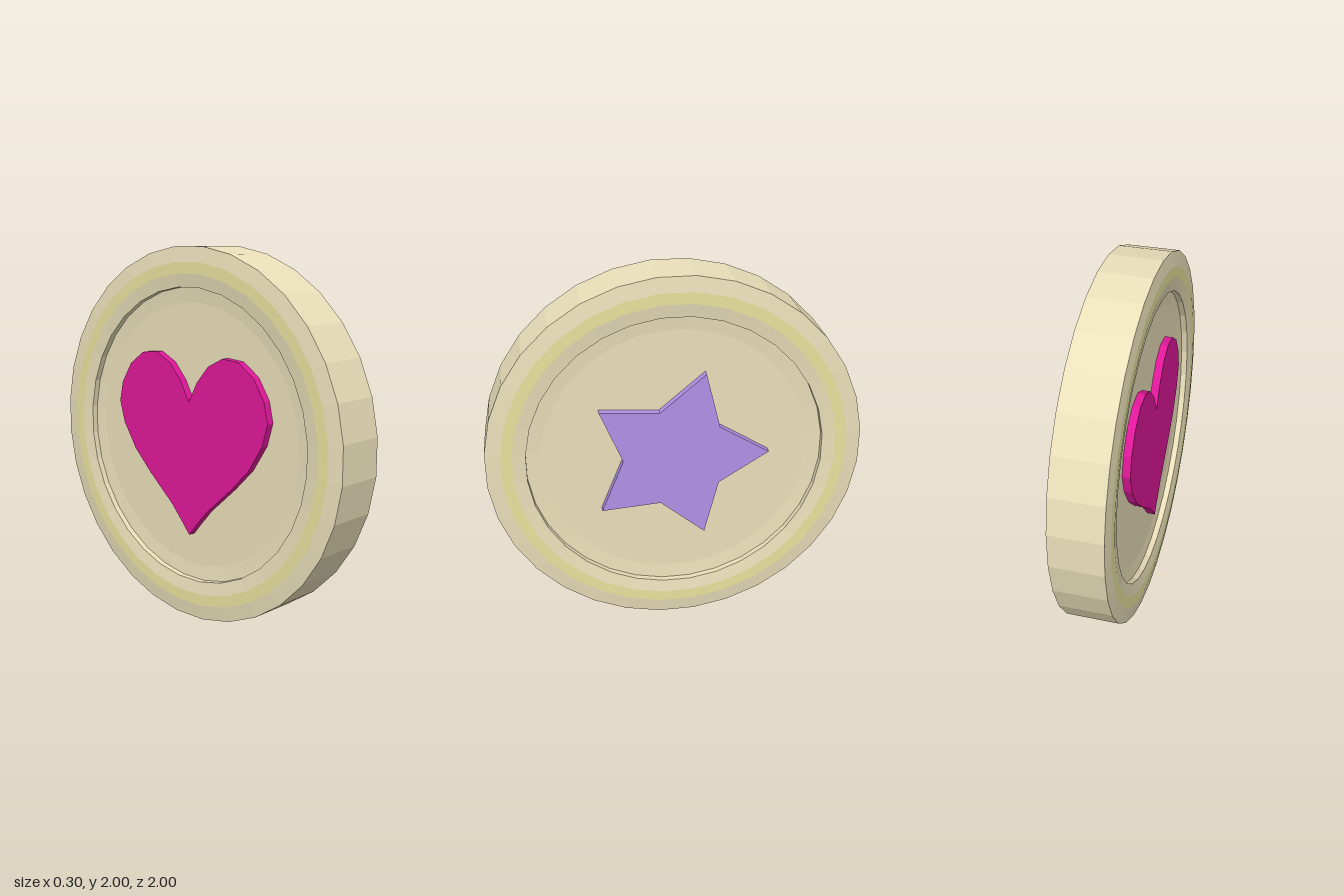
import * as THREE from 'three';

const SIDES = 32;
const FLAT = 1 / Math.cos(Math.PI / SIDES); // radii are measured across the flats

function makeMesh(name, geometry, color) {
  const material = new THREE.MeshStandardMaterial({ color, flatShading: true });
  const mesh = new THREE.Mesh(geometry, material);
  mesh.name = name;
  return mesh;
}

// Faceted ring or disc turned about the x axis; profile is [radius, x]
function turned(name, profile, color) {
  const points = profile.map(([r, x]) => new THREE.Vector2(r * FLAT, x));
  const geometry = new THREE.LatheGeometry(points, SIDES, Math.PI / SIDES);
  geometry.rotateZ(-Math.PI / 2);
  return makeMesh(name, geometry, color);
}

// Raised emblem on one face of the coin (side = 1 or -1)
function emblem(name, points, side, color) {
  const shape = new THREE.Shape(points.map(([u, v]) => new THREE.Vector2(u, v)));
  const geometry = new THREE.ExtrudeGeometry(shape, { depth: 0.045, bevelEnabled: false });
  geometry.translate(0, 0, 0.097);
  geometry.rotateY(side * Math.PI / 2);
  return makeMesh(name, geometry, color);
}

export function createModel() {
  const coin = new THREE.Group();
  coin.name = 'coin';
  coin.position.y = 1;

  // Half profiles, from the middle of a face outwards
  const dish = [[0, 0.1], [0.71, 0.1], [0.79, 0.107], [0.79, 0.14], [0.86, 0.15]];
  const band = [[0.86, 0.15], [0.92, 0.15]];
  const mirror = (profile) => profile.map(([r, x]) => [r, -x]);
  const cream = 0xeae0ba, yellow = 0xe8e39e;

  // Coin body: outer edge and the two recessed faces
  coin.add(turned('outerEdge', [[0.92, -0.15], [1, -0.14], [1, 0.14], [0.92, 0.15]], cream));
  coin.add(turned('starFace', [...dish].reverse(), cream));
  coin.add(turned('heartFace', mirror(dish), cream));

  // Yellow ring on each rim
  coin.add(turned('starFaceRing', [...band].reverse(), yellow));
  coin.add(turned('heartFaceRing', mirror(band), yellow));

  // Five-pointed star lying on its side
  const star = [];
  for (let i = 0; i < 10; i++) {
    const r = i % 2 ? 0.285 : 0.5;
    const a = (i * Math.PI) / 5;
    star.push([r * Math.cos(a), r * Math.sin(a)]);
  }
  coin.add(emblem('star', star, 1, 0xb292e8));

  // Heart, one half mirrored to the other
  const half = [
    [0.06, 0.3], [0.14, 0.39], [0.24, 0.44], [0.35, 0.43], [0.45, 0.36], [0.52, 0.25],
    [0.545, 0.14], [0.51, 0.02], [0.42, -0.12], [0.3, -0.24], [0.13, -0.39], [0.05, -0.48],
  ];
  const otherHalf = half.map(([u, v]) => [-u, v]).reverse();
  const heart = [[0, 0.19], ...half, [0, -0.54], ...otherHalf];
  coin.add(emblem('heart', heart, -1, 0xe0189a));

  const model = new THREE.Group();
  model.name = 'model';
  model.add(coin);
  return model;
}
